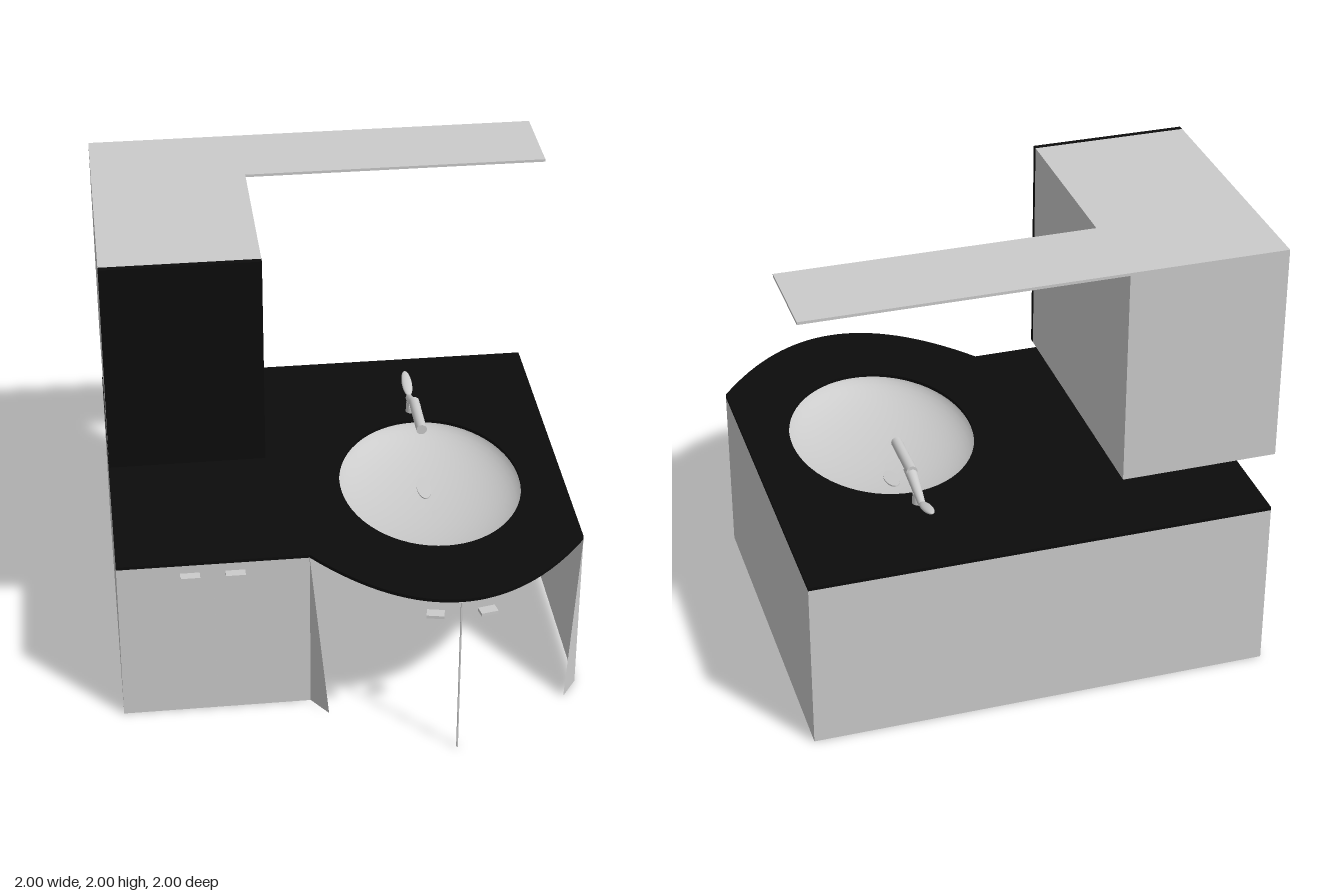
import * as THREE from 'three';

const grey = new THREE.MeshStandardMaterial({ color: 0xcccccc, side: THREE.DoubleSide });
const black = new THREE.MeshStandardMaterial({ color: 0x0c0c0c });

export function createModel() {
  const model = new THREE.Group();
  const add = (name, geometry, material = grey, parent = model) => {
    const mesh = new THREE.Mesh(geometry, material);
    mesh.name = name;
    parent.add(mesh);
    return mesh;
  };
  // box given by its minimum and maximum corners
  const box = (name, a, b, material = grey) => {
    const mesh = add(name, new THREE.BoxGeometry(b[0] - a[0], b[1] - a[1], b[2] - a[2]), material);
    mesh.position.set((a[0] + b[0]) / 2, (a[1] + b[1]) / 2, (a[2] + b[2]) / 2);
    return mesh;
  };
  // thin flat panel from a fan of corner points
  const panel = (name, ...pts) => {
    const g = new THREE.BufferGeometry();
    g.setAttribute('position', new THREE.Float32BufferAttribute(pts.flat(), 3));
    const index = [];
    for (let i = 1; i < pts.length - 1; i++) index.push(0, i, i + 1);
    g.setIndex(index);
    g.computeVertexNormals();
    return add(name, g);
  };

  const sinkX = 0.41, sinkZ = 0.06, H = 0.765, front = 0.57, bowLeft = -0.18, bowTip = 0.96;

  // countertop with a bowed front and an oval opening
  const top = new THREE.Shape();
  top.moveTo(-1, -1);
  top.lineTo(1, -1);
  top.lineTo(1, front);
  top.quadraticCurveTo(sinkX, 2 * bowTip - front, bowLeft, front);
  top.lineTo(-1, front);
  top.closePath();
  const opening = new THREE.Path();
  opening.absellipse(sinkX, sinkZ, 0.4, 0.51, 0, Math.PI * 2, true);
  top.holes.push(opening);
  const topGeometry = new THREE.ExtrudeGeometry(top, { depth: 0.015, bevelEnabled: false, curveSegments: 32 });
  topGeometry.rotateX(Math.PI / 2).translate(0, 0.78, 0);
  add('countertop', topGeometry, black);

  // oval basin hanging under the countertop
  const profile = [];
  for (let i = 0; i <= 14; i++) {
    const t = (i / 14) * Math.PI / 2;
    profile.push(new THREE.Vector2(Math.sin(t), -Math.cos(t)));
  }
  const basin = add('basin', new THREE.LatheGeometry(profile, 48));
  basin.scale.set(0.425, 0.145, 0.55);
  basin.position.set(sinkX, H, sinkZ);
  const drain = add('drain', new THREE.CylinderGeometry(1, 1, 1, 24));
  drain.scale.set(0.032, 0.006, 0.075);
  drain.rotation.x = 0.09;
  drain.position.set(sinkX, 0.632, -0.1);

  // lower cabinet panels, open at the bottom and the bowed front
  panel('backPanel', [1, 0, -1], [-1, 0, -1], [-1, H, -1], [1, H, -1]);
  panel('rightPanel', [-1, 0, -1], [-1, 0, front], [-1, H, front], [-1, H, -1]);
  panel('leftPanel', [1, 0, front], [1, 0, -1], [1, H, -1], [1, H, front]);
  panel('leftFrontEdge', [0.93, 0, 0.67], [1, 0, front], [1, H, front]);
  panel('rightFrontEdge', [bowLeft, 0, front], [-0.11, 0, 0.67], [bowLeft, H, front]);
  for (const [a, b] of [[-1, -0.592], [-0.588, bowLeft]])
    panel('door', [a, 0, front], [b, 0, front], [b, H, front], [a, H, front]);
  box('doorSeam', [-0.592, 0, front - 0.008], [-0.588, H, front - 0.001]);
  box('centreStrip', [sinkX - 0.003, 0, 0.953], [sinkX + 0.003, H, 0.965]);

  // door handles
  for (const x of [-0.69, -0.497]) box('handle', [x - 0.042, 0.713, front], [x + 0.042, 0.727, 0.61]);
  for (const side of [-1, 1]) {
    const handle = add('handle', new THREE.BoxGeometry(0.074, 0.014, 0.045));
    handle.position.set(sinkX + side * 0.11, 0.72, 0.97);
    handle.rotation.y = side * 0.2;
  }

  // tap: spout, sloping neck, base and lever
  const tap = new THREE.Group();
  tap.name = 'tap';
  tap.position.x = sinkX;
  model.add(tap);
  const rod = (name, y1, z1, y2, z2, r1, r2) => {
    const a = new THREE.Vector3(0, y1, z1), b = new THREE.Vector3(0, y2, z2);
    const mesh = add(name, new THREE.CylinderGeometry(r2, r1, a.distanceTo(b), 20), grey, tap);
    mesh.position.copy(a).lerp(b, 0.5);
    mesh.quaternion.setFromUnitVectors(new THREE.Vector3(0, 1, 0), b.sub(a).normalize());
  };
  rod('spout', 0.882, -0.2, 0.882, -0.445, 0.024, 0.024);
  rod('neck', 0.876, -0.41, 0.812, -0.595, 0.027, 0.016);
  rod('base', 0.775, -0.53, 0.83, -0.53, 0.025, 0.022);
  const lever = add('lever', new THREE.SphereGeometry(1, 24, 12), grey, tap);
  lever.scale.set(0.024, 0.012, 0.082);
  lever.position.set(0, 0.842, -0.672);
  lever.rotation.x = 0.26;

  // wall cabinet with a dark door, and the shelf beside it
  box('wallCabinet', [-1, 1.045, -1], [-0.33, 2, 0.18]);
  box('wallCabinetDoor', [-1, 1.045, 0.18], [-0.33, 2, 0.205], black);
  box('shelf', [-0.33, 1.988, -1], [1, 2, -0.6]);

  return model;
}
